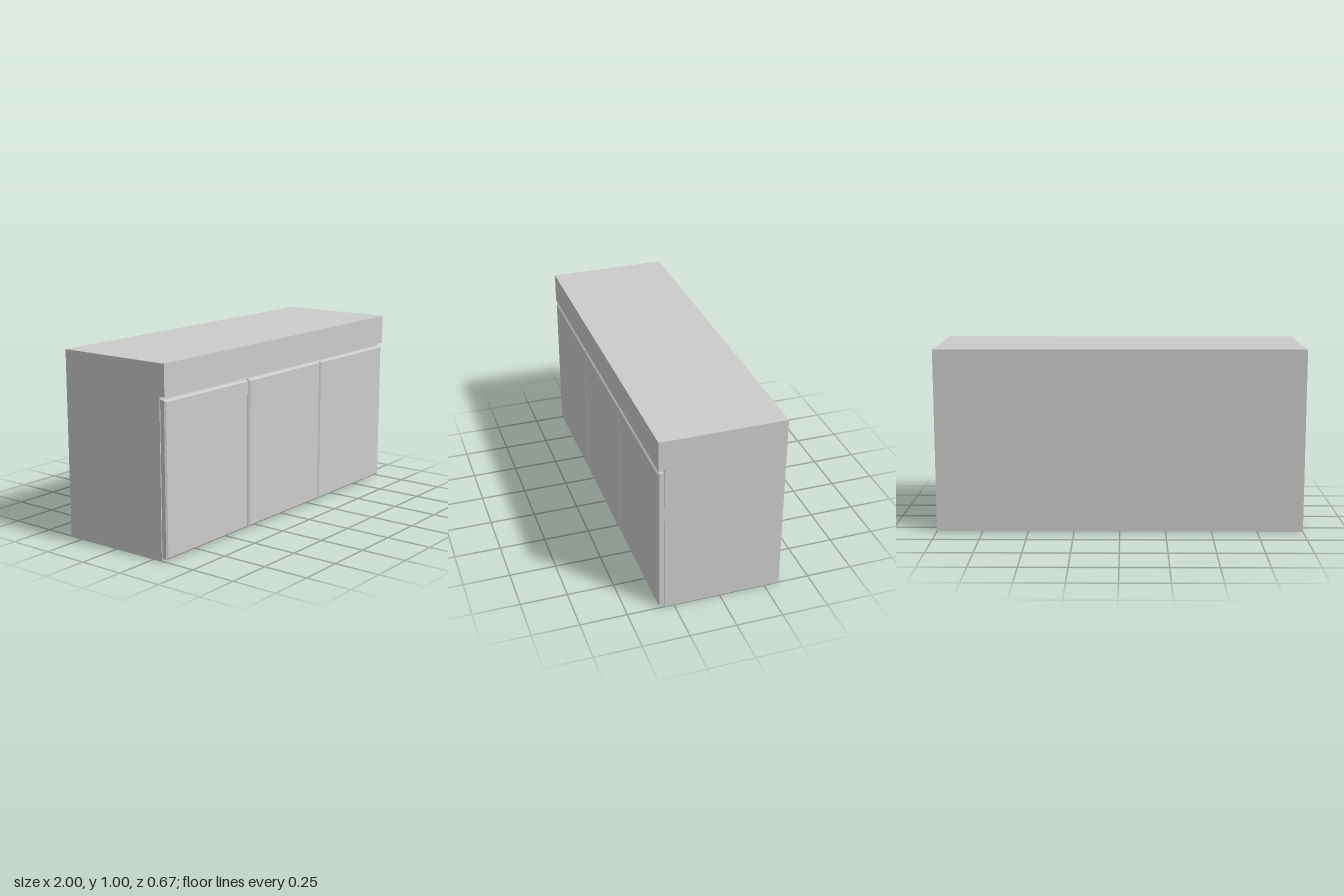
import * as THREE from 'three';

const material = new THREE.MeshStandardMaterial({ color: 0xcccccc, flatShading: true });

// Slab whose front edges are chamfered: the middle ring of vertices moves
// forward to the chamfer line and the front ring is drawn inwards.
function chamferedSlab(w, h, d, c) {
  const box = new THREE.BoxGeometry(w, h, d, 1, 1, 2);
  const p = box.attributes.position;
  for (let i = 0; i < p.count; i++) {
    const z = p.getZ(i);
    if (Math.abs(z) < 1e-6) p.setZ(i, d / 2 - c);
    else if (z > 0) {
      p.setX(i, p.getX(i) - Math.sign(p.getX(i)) * c);
      p.setY(i, p.getY(i) - Math.sign(p.getY(i)) * c);
    }
  }
  const geometry = box.toNonIndexed();
  geometry.computeVertexNormals();
  return geometry;
}

export function createModel() {
  const group = new THREE.Group();
  const back = -0.333, front = 0.333, carcassFront = 0.301, lip = 0.836;

  // Carcass and overhanging counter: one side profile extruded across the width
  const profile = new THREE.Shape([
    [-back, 0], [-back, 1], [-front, 1], [-front, lip], [-carcassFront, lip], [-carcassFront, 0],
  ].map(([x, y]) => new THREE.Vector2(x, y)));
  const bodyGeometry = new THREE.ExtrudeGeometry(profile, { depth: 2, bevelEnabled: false });
  bodyGeometry.translate(0, 0, -1).rotateY(Math.PI / 2);
  const body = new THREE.Mesh(bodyGeometry, material);
  body.name = 'cabinetBody';
  group.add(body);

  // Three doors, each with a chamfered front
  const bottom = 0.01, top = 0.818;
  const doors = [['rightDoor', -0.995, -0.334], ['middleDoor', -0.328, 0.33], ['leftDoor', 0.331, 0.993]];
  for (const [name, x0, x1] of doors) {
    const door = new THREE.Mesh(chamferedSlab(x1 - x0, top - bottom, front - carcassFront, 0.008), material);
    door.name = name;
    door.position.set((x0 + x1) / 2, (bottom + top) / 2, (front + carcassFront) / 2);
    group.add(door);
  }
  return group;
}
